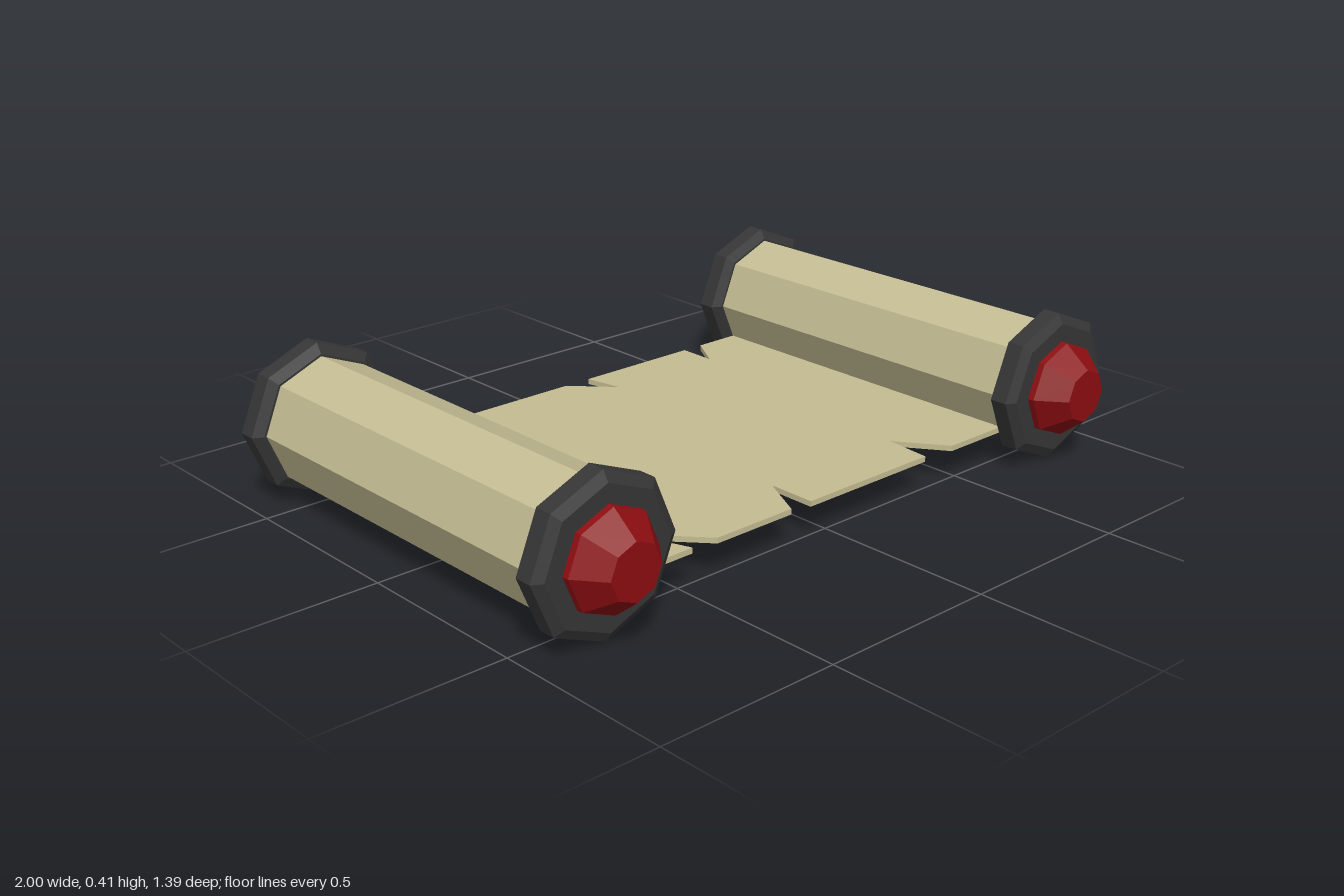
import * as THREE from 'three';

const material = (color) => new THREE.MeshStandardMaterial({ color, flatShading: true });

// Eight-sided turned solid along z; profile is [radius, distance], dir picks the end it points to
function turned(name, profile, mat, dir = 1) {
  const points = profile.map(([r, d]) => new THREE.Vector2(r, d));
  const geometry = new THREE.LatheGeometry(points, 8).rotateX(dir * Math.PI / 2);
  const mesh = new THREE.Mesh(geometry, mat);
  mesh.name = name;
  return mesh;
}

export function createModel() {
  const model = new THREE.Group();
  model.name = 'scroll';
  const paper = material(0xc4bc92);
  const iron = material(0x363636);
  const gem = material(0x8c0d11);

  // Two rolls, each with a bevelled cap and a faceted gem at both ends
  for (const side of [-1, 1]) {
    const rod = new THREE.Group();
    rod.name = side > 0 ? 'leftRod' : 'rightRod';
    rod.position.set(side * 0.793, 0.21, 0);
    rod.add(turned('paperRoll', [[0, -0.53], [0.174, -0.53], [0.174, 0.53], [0, 0.53]], paper));
    for (const end of [-1, 1]) {
      rod.add(turned('endCap', [
        [0, 0.525], [0.18, 0.525], [0.207, 0.541], [0.207, 0.589], [0.18, 0.605], [0, 0.605],
      ], iron, end));
      rod.add(turned('gem', [[0.132, 0.6], [0.13, 0.622], [0.073, 0.695], [0, 0.695]], gem, end));
    }
    model.add(rod);
  }

  // Open sheet with torn notches, outlined in x and z
  const outline = [
    [-0.68, -0.51], [-0.47, -0.495], [-0.47, -0.415], [-0.4, -0.525], [0, -0.525],
    [0.105, -0.415], [0.083, -0.525], [0.46, -0.525], [0.46, -0.415], [0.525, -0.525], [0.68, -0.525],
    [0.68, 0.52], [0.46, 0.52], [0.365, 0.385], [0.353, 0.52], [-0.075, 0.52],
    [-0.075, 0.385], [-0.143, 0.52], [-0.39, 0.52], [-0.528, 0.365], [-0.47, 0.52], [-0.68, 0.52],
  ];
  const shape = new THREE.Shape(outline.map(([x, z]) => new THREE.Vector2(x, z)));
  const sheet = new THREE.Mesh(
    new THREE.ExtrudeGeometry(shape, { depth: 0.015, bevelEnabled: false }).rotateX(Math.PI / 2),
    paper,
  );
  sheet.name = 'paperSheet';
  sheet.position.y = 0.106;
  model.add(sheet);

  return model;
}
